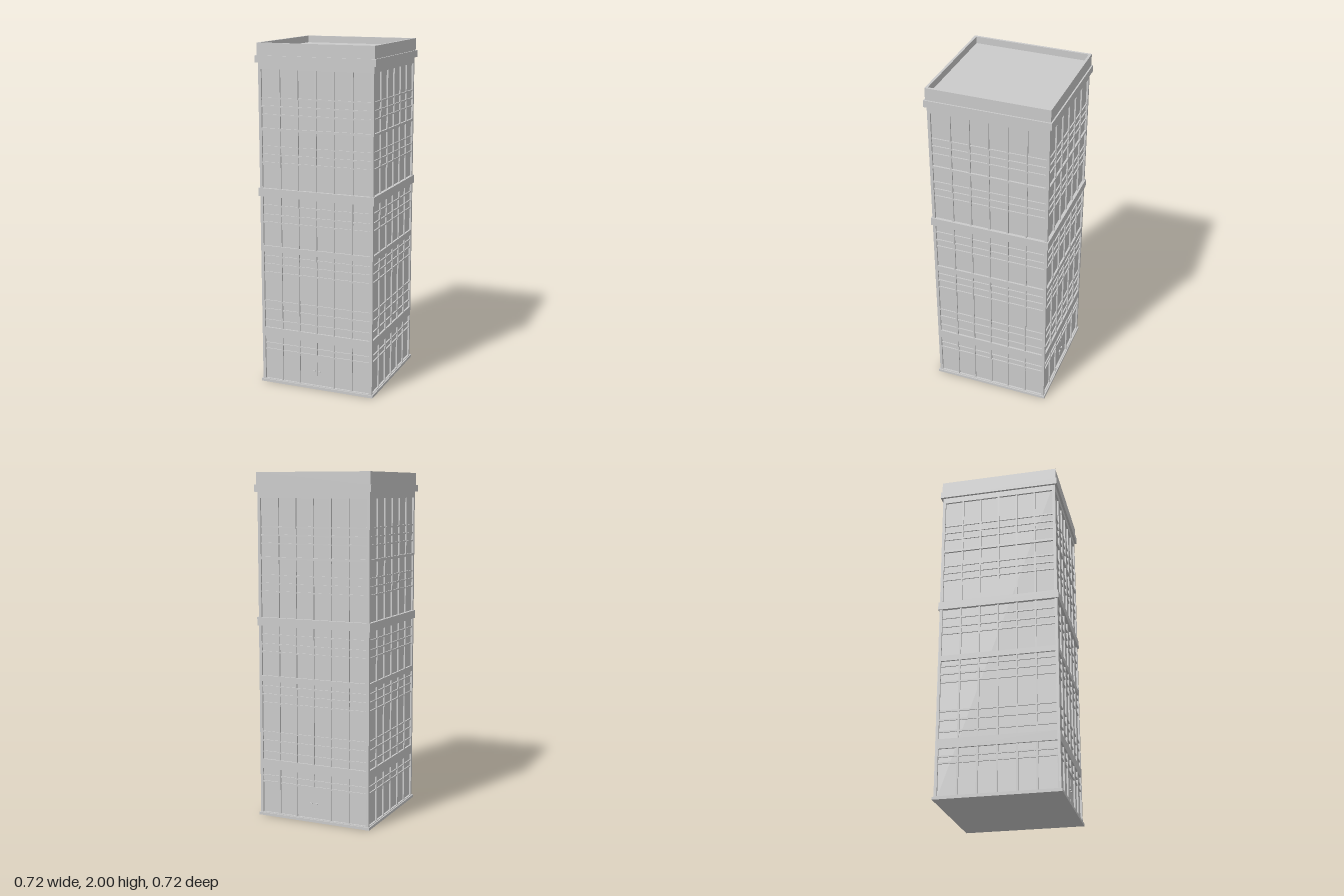
import * as THREE from 'three';

const material = new THREE.MeshStandardMaterial({ color: 0xcccccc, flatShading: true });
const WALL = 0.345, GLASS = 0.334, OPEN = 0.328, BAY = OPEN / 3;

// Window groups: bottom, top and heights of the horizontal rails
const groups = [
  { y0: 0.02, y1: 0.285, rails: [0.204, 0.241] },
  { y0: 0.34, y1: 0.805, rails: [0.384, 0.451, 0.503, 0.677, 0.727, 0.775] },
  { y0: 0.838, y1: 1.13, rails: [0.977, 1.022, 1.077] },
  { y0: 1.175, y1: 1.51, rails: [1.326, 1.372, 1.419] },
  { y0: 1.525, y1: 1.855, rails: [1.6, 1.647, 1.694] },
];

function add(parent, name, geometry, x = 0, y = 0, z = 0) {
  const mesh = new THREE.Mesh(geometry, material);
  mesh.name = name;
  mesh.position.set(x, y, z);
  parent.add(mesh);
  return mesh;
}

function box(parent, name, w, h, d, x, y, z) {
  return add(parent, name, new THREE.BoxGeometry(w, h, d), x, y, z);
}

// Square slab running around the whole tower
function slab(parent, name, half, y0, y1) {
  return box(parent, name, 2 * half, y1 - y0, 2 * half, 0, (y0 + y1) / 2, 0);
}

function rectangle(Type, x0, y0, x1, y1) {
  return new Type([[x0, y0], [x1, y0], [x1, y1], [x0, y1]].map(p => new THREE.Vector2(...p)));
}

// One side of the tower, facing +z
function createFacade(hasDoor) {
  const facade = new THREE.Group();

  // Wall with one wide opening per window group
  const shape = rectangle(THREE.Shape, -WALL, 0, WALL, 1.9);
  for (const g of groups) shape.holes.push(rectangle(THREE.Path, -OPEN, g.y0, OPEN, g.y1));
  const depth = WALL - GLASS;
  add(facade, 'wall', new THREE.ExtrudeGeometry(shape, { depth, bevelEnabled: false }), 0, 0, GLASS);

  groups.forEach((g, level) => {
    // Vertical mullions; the middle one stops above the double door
    for (let i = -2; i <= 2; i++) {
      const y0 = hasDoor && level === 0 && i === 0 ? g.rails[0] : g.y0;
      box(facade, 'mullion', 0.01, g.y1 - y0, 0.01, i * BAY, (y0 + g.y1) / 2, GLASS + 0.004);
    }
    // Horizontal rails
    for (const y of g.rails) box(facade, 'windowRail', 2 * OPEN, 0.009, 0.008, 0, y, GLASS + 0.003);
  });

  if (hasDoor) {
    box(facade, 'doorSeam', 0.002, 0.18, 0.002, 0, 0.11, GLASS);
    for (const s of [-1, 1]) box(facade, 'doorHandle', 0.014, 0.005, 0.008, s * 0.018, 0.107, GLASS + 0.004);
  }
  return facade;
}

export function createModel() {
  const tower = new THREE.Group();
  tower.name = 'officeTower';

  // Glazed core and the four facades
  slab(tower, 'glassCore', GLASS, 0, 1.9);
  ['frontFacade', 'leftFacade', 'backFacade', 'rightFacade'].forEach((name, i) => {
    const facade = createFacade(i % 2 === 0);
    facade.name = name;
    facade.rotation.y = i * Math.PI / 2;
    tower.add(facade);
  });

  // Projecting courses
  slab(tower, 'plinth', 0.352, 0, 0.016);
  slab(tower, 'middleBand', 0.352, 1.13, 1.178);
  slab(tower, 'cornice', 0.358, 1.89, 1.93);

  // Roof deck sunk behind a parapet
  slab(tower, 'roofDeck', 0.34, 1.925, 1.96);
  const ring = rectangle(THREE.Shape, -0.35, -0.35, 0.35, 0.35);
  ring.holes.push(rectangle(THREE.Path, -0.336, -0.336, 0.336, 0.336));
  const parapet = add(tower, 'parapet',
    new THREE.ExtrudeGeometry(ring, { depth: 0.075, bevelEnabled: false }), 0, 1.925, 0);
  parapet.rotation.x = -Math.PI / 2;
  return tower;
}
